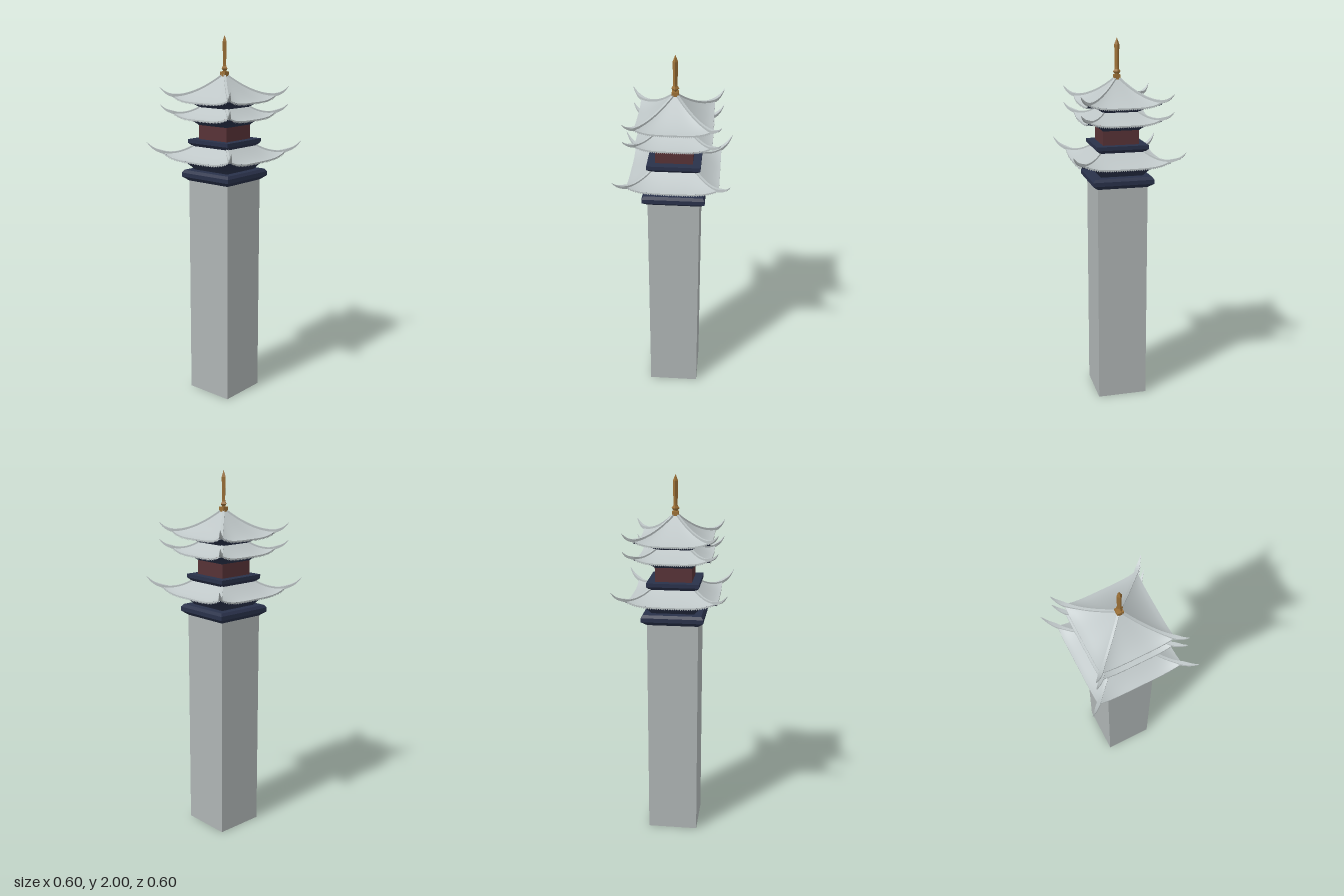
import * as THREE from 'three';

const paint = (name, color, side = THREE.FrontSide) => {
  const m = new THREE.MeshStandardMaterial({ color, side });
  m.name = name;
  return m;
};

// Surface from a rule fn(i, j) -> [x, y, z]; loop closes the columns
function grid(rows, cols, fn, { flip = false, loop = false, flat = false } = {}) {
  const pos = [], idx = [], n = loop ? cols : cols + 1;
  for (let i = 0; i <= rows; i++) for (let j = 0; j < n; j++) pos.push(...fn(i, j));
  for (let i = 0; i < rows; i++) {
    for (let j = 0; j < cols; j++) {
      const k = (j + 1) % n;
      const a = i * n + j, b = a + n, c = (i + 1) * n + k, d = i * n + k;
      if (flip) idx.push(a, c, b, a, d, c);
      else idx.push(a, b, c, a, c, d);
    }
  }
  let g = new THREE.BufferGeometry();
  g.setAttribute('position', new THREE.Float32BufferAttribute(pos, 3));
  g.setIndex(idx);
  if (flat) g = g.toNonIndexed();
  g.computeVertexNormals();
  return g;
}

// Square block between two heights, with its own half widths at bottom and top
function block(bottom, top, y0, y1, open = false) {
  let g = new THREE.CylinderGeometry(top * Math.SQRT2, bottom * Math.SQRT2, y1 - y0, 4, 1, open);
  g.rotateY(Math.PI / 4).translate(0, (y0 + y1) / 2, 0);
  g = g.toNonIndexed();
  g.computeVertexNormals();
  return g;
}

export function createModel() {
  const model = new THREE.Group();
  model.name = 'pagodaTower';
  const stone = paint('stoneGrey', 0xaeb4b4, THREE.DoubleSide);
  const tile = paint('paleTile', 0xbec6c7);
  const navy = paint('navyTrim', 0x29314a);
  const red = paint('darkRed', 0x573236);
  const gold = paint('agedGold', 0x9c7036);

  const add = (name, geometry, material, parent = model) => {
    const m = new THREE.Mesh(geometry, material);
    m.name = name;
    parent.add(m);
    return m;
  };

  // Curved roof with four sides, dark underside, toothed eaves and upswept hip ribs
  function roof(name, { inner, yTop, outer, yEave, lift, underInner, yUnder, reach, rise }) {
    const group = new THREE.Group();
    group.name = name;
    model.add(group);
    const thick = 0.008, rows = 12, cols = 24, teeth = 80;
    const height = (t, u, y0, y1, power) =>
      y1 + (y0 - y1) * Math.pow(1 - t, power) + lift * t * t * Math.pow(Math.abs(u), 4);
    const slope = (a, y0, y1, power, flip) => grid(rows, cols, (i, j) => {
      const t = i / rows, u = j / cols * 2 - 1, h = a + (outer - a) * t;
      return [u * h, height(t, u, y0, y1, power), h];
    }, { flip });
    const top = slope(inner, yTop, yEave + thick, 1.5, false);
    const under = slope(underInner, yUnder, yEave, 3, true);
    const eave = grid(1, teeth, (i, j) => {
      const u = j / teeth * 2 - 1;
      const y = height(1, u, 0, yEave, 1);
      return [u * outer, i ? y - (j % 2 ? 0.005 : -0.002) : y + thick, outer];
    }, { flat: true });

    // Rib follows the hip, then curls up past the corner
    const points = [0, 0.2, 0.4, 0.6, 0.8, 1].map(t => new THREE.Vector3(
      inner + (outer - inner) * t, height(t, 1, yTop, yEave + thick, 1.5) + 0.006, 0));
    const corner = points[5];
    points.push(new THREE.Vector3(outer + reach * 0.55, corner.y + rise * 0.35, 0));
    points.push(new THREE.Vector3(outer + reach, corner.y + rise, 0));
    const path = new THREE.CatmullRomCurve3(points);
    const steps = 28;
    const rib = grid(steps, 4, (i, j) => {
      const s = i / steps, p = path.getPoint(s);
      const taper = s < 0.72 ? 1 : Math.max(0.03, Math.sqrt((1 - s) / 0.28));
      const swell = 0.006 + 0.004 * Math.exp(-Math.pow((s - 0.75) / 0.15, 2));
      const w = swell * taper * (j === 1 || j === 2 ? 1 : -1);
      const y = p.y - (j < 2 ? 0 : 0.016 * taper);
      return [p.x + w * 0.707, y, p.x - w * 0.707];
    }, { loop: true, flat: true });

    for (let k = 0; k < 4; k++) {
      const side = new THREE.Group();
      side.name = 'roofSide';
      side.rotation.y = k * Math.PI / 2;
      group.add(side);
      add('tiledSlope', top, tile, side);
      add('roofUnderside', under, navy, side);
      add('toothedEave', eave, tile, side);
      add('hipRib', rib, tile, side);
    }
  }

  // Hollow shaft, open at the bottom
  add('shaft', block(0.137, 0.137, 0, 1.23, true), stone);

  // Stepped cornice on top of the shaft
  add('corniceFlare', block(0.137, 0.166, 1.222, 1.245), navy);
  add('corniceBand', block(0.166, 0.166, 1.245, 1.267), navy);
  add('corniceBevel', block(0.166, 0.155, 1.267, 1.282), navy);
  add('lowerNeck', block(0.115, 0.115, 1.28, 1.32), navy);

  roof('lowerRoof', {
    inner: 0.115, yTop: 1.418, outer: 0.238, yEave: 1.341, lift: 0.035,
    underInner: 0.113, yUnder: 1.28, reach: 0.06, rise: 0.046,
  });

  // Balcony deck and the red upper room
  add('deckFlare', block(0.12, 0.14, 1.41, 1.43), navy);
  add('deck', block(0.14, 0.14, 1.43, 1.45), navy);
  add('upperRoom', block(0.098, 0.098, 1.45, 1.54), red);

  roof('middleRoof', {
    inner: 0.095, yTop: 1.622, outer: 0.197, yEave: 1.56, lift: 0.03,
    underInner: 0.097, yUnder: 1.525, reach: 0.048, rise: 0.034,
  });

  add('upperNeck', block(0.09, 0.09, 1.60, 1.645), navy);

  roof('topRoof', {
    inner: 0.004, yTop: 1.797, outer: 0.197, yEave: 1.65, lift: 0.03,
    underInner: 0.09, yUnder: 1.617, reach: 0.048, rise: 0.036,
  });

  // Four-sided spire with a collar at its foot
  add('spireFoot', block(0.017, 0.017, 1.785, 1.81), gold);
  const profile = [
    [0.01, 1.8], [0.012, 1.815], [0.021, 1.825], [0.012, 1.838],
    [0.011, 1.85], [0.014, 1.965], [0.010, 1.975], [0, 2.0],
  ].map(p => new THREE.Vector2(...p));
  const spire = new THREE.LatheGeometry(profile, 4).toNonIndexed();
  spire.computeVertexNormals();
  add('spire', spire, gold);

  return model;
}
